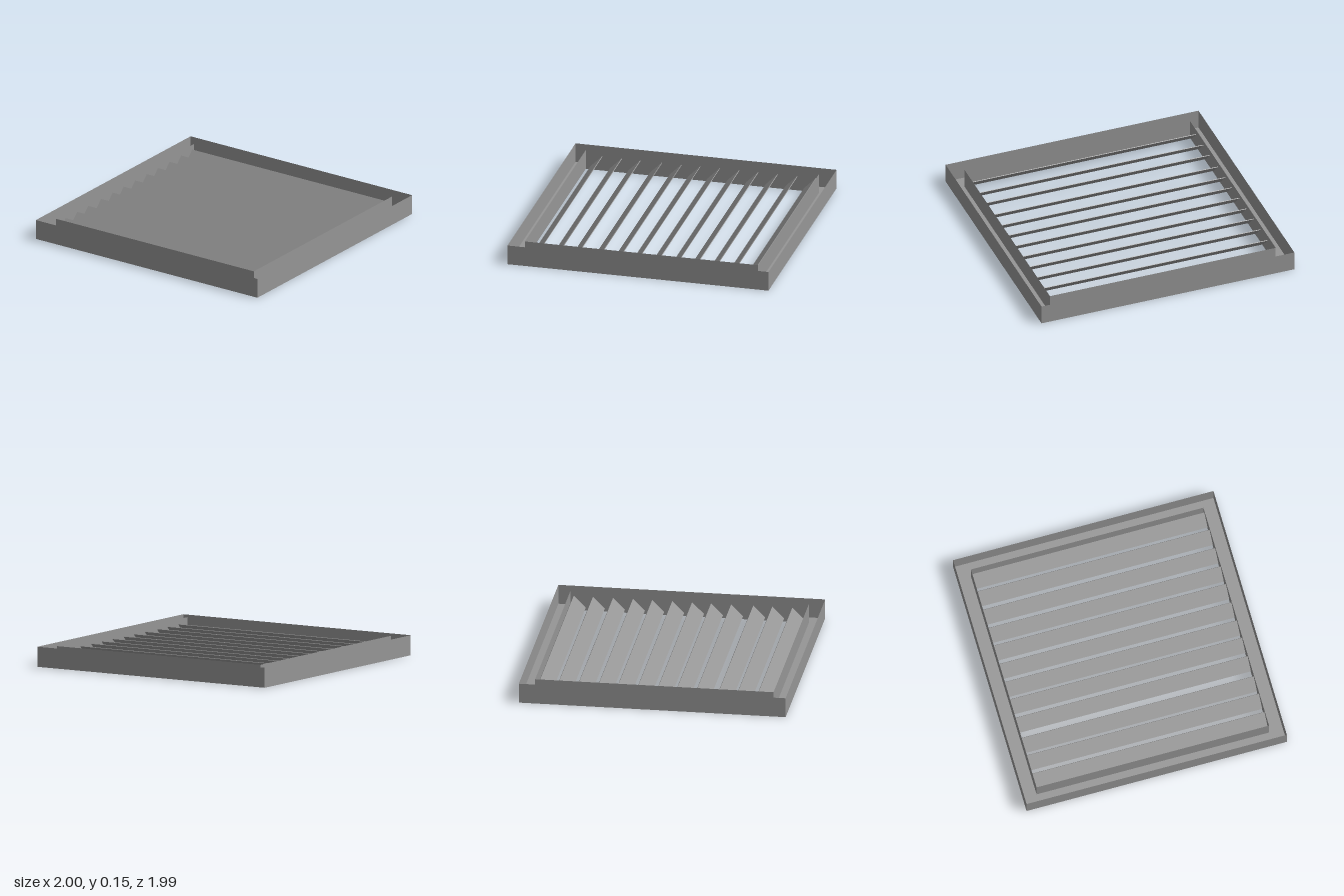
import * as THREE from 'three';

const HEIGHT = 0.15;
const OUTER = [1, 0.997]; // half width (x) and half depth (z) of the frame
const INNER = [0.893, 0.891]; // same for the opening

function rectangle(path, [hx, hz]) {
  path.moveTo(-hx, -hz);
  path.lineTo(hx, -hz);
  path.lineTo(hx, hz);
  path.lineTo(-hx, hz);
  path.closePath();
  return path;
}

export function createModel() {
  const model = new THREE.Group();
  model.name = 'louverVent';
  const material = new THREE.MeshStandardMaterial({
    color: 0x969696, flatShading: true, side: THREE.DoubleSide,
  });

  function add(parent, name, geometry) {
    const mesh = new THREE.Mesh(geometry, material);
    mesh.name = name;
    parent.add(mesh);
    return mesh;
  }

  // Frame: a sheet channel, open at the top, with a flat bottom flange
  const frame = new THREE.Group();
  frame.name = 'frame';
  model.add(frame);
  const ring = rectangle(new THREE.Shape(), OUTER);
  ring.holes.push(rectangle(new THREE.Path(), INNER));
  add(frame, 'bottomFlange', new THREE.ShapeGeometry(ring).rotateX(Math.PI / 2));

  // Four upright walls around a rectangle; facing is 1 outward, -1 inward
  function addWalls(name, [hx, hz], facing) {
    for (const side of [-1, 1]) {
      const across = add(frame, `${name}${side > 0 ? 'Front' : 'Back'}`, new THREE.PlaneGeometry(2 * hx, HEIGHT));
      across.position.set(0, HEIGHT / 2, side * hz);
      across.rotation.y = side * facing > 0 ? 0 : Math.PI;
      const along = add(frame, `${name}${side > 0 ? 'Left' : 'Right'}`, new THREE.PlaneGeometry(2 * hz, HEIGHT));
      along.position.set(side * hx, HEIGHT / 2, 0);
      along.rotation.y = side * facing * Math.PI / 2;
    }
  }
  addWalls('outerWall', OUTER, 1);
  addWalls('innerWall', INNER, -1);

  // Thin slats tilted 45 degrees, high edge at the back, slightly uneven spacing
  const slats = new THREE.Group();
  slats.name = 'slats';
  model.add(slats);
  const slatGeometry = new THREE.BoxGeometry(INNER[0] * 2, 0.005, 0.126);
  const centres = [-0.823, -0.68, -0.53, -0.381, -0.237, -0.087,
    0.061, 0.203, 0.353, 0.518, 0.66, 0.81];
  centres.forEach((z, i) => {
    const slat = add(slats, `slat${i + 1}`, slatGeometry);
    slat.position.set(0, 0.067, z);
    slat.rotation.x = Math.PI / 4;
  });

  return model;
}
